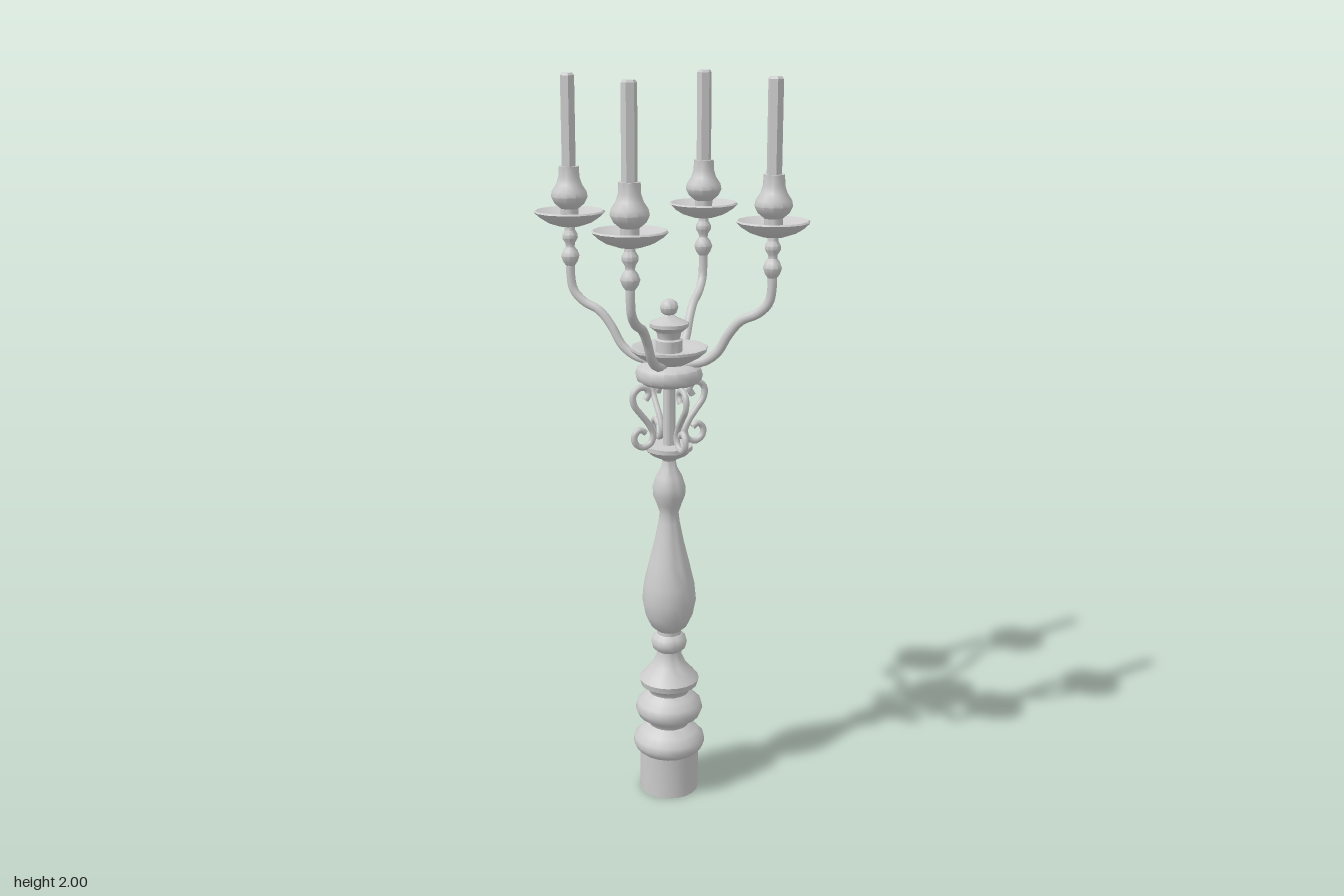
import * as THREE from 'three';
import { toCreasedNormals } from 'three/addons/utils/BufferGeometryUtils.js';

const material = new THREE.MeshStandardMaterial({ color: 0xcccccc, side: THREE.DoubleSide });

// Turned part from [radius, height] pairs, listed bottom to top
function turned(name, profile, sides, crease = 0.75) {
  const points = profile.map(([r, y]) => new THREE.Vector2(r, y));
  const geometry = new THREE.LatheGeometry(points, sides, Math.PI / sides);
  const mesh = new THREE.Mesh(toCreasedNormals(geometry, crease), material);
  mesh.name = name;
  return mesh;
}

// Round bar along a path of [distance from axis, height] pairs
function bar(name, path, radius, segments, sides) {
  const curve = new THREE.CatmullRomCurve3(path.map(([x, y]) => new THREE.Vector3(x, y, 0)));
  const mesh = new THREE.Mesh(new THREE.TubeGeometry(curve, segments, radius, sides), material);
  mesh.name = name;
  return mesh;
}

export function createModel() {
  const model = new THREE.Group();
  model.name = 'candelabra';

  // Foot and ringed base
  model.add(turned('base', [
    [0, 0], [0.083, 0], [0.083, 0.12], [0.094, 0.13], [0.101, 0.145], [0.099, 0.163],
    [0.08, 0.183], [0.055, 0.2], [0.06, 0.212], [0.085, 0.228], [0.095, 0.25], [0.09, 0.27],
    [0.07, 0.288], [0.056, 0.3], [0.06, 0.312], [0.08, 0.325], [0.084, 0.342], [0.07, 0.36],
    [0.048, 0.385], [0.036, 0.41], [0.034, 0.426], [0.046, 0.436], [0.05, 0.452],
    [0.046, 0.468], [0.034, 0.478], [0.034, 0.49],
  ], 20));

  // Baluster stem with upper bulb
  model.add(turned('stem', [
    [0.034, 0.488], [0.05, 0.502], [0.066, 0.535], [0.075, 0.58], [0.07, 0.63], [0.056, 0.69],
    [0.04, 0.755], [0.029, 0.81], [0.026, 0.835], [0.034, 0.86], [0.044, 0.885], [0.045, 0.91],
    [0.036, 0.94], [0.022, 0.965], [0.018, 0.985], [0.025, 0.995],
  ], 20));

  // Plate under the scrolls and the rod through them
  model.add(turned('lowerPlate', [
    [0, 0.99], [0.03, 0.993], [0.05, 1.003], [0.064, 1.016], [0.064, 1.028], [0, 1.03],
  ], 16));
  model.add(turned('centreRod', [[0.017, 1.02], [0.017, 1.21]], 10));

  // Collar and central dish
  model.add(turned('collar', [
    [0, 1.198], [0.07, 1.2], [0.086, 1.21], [0.091, 1.226], [0.086, 1.243], [0.07, 1.253], [0, 1.255],
  ], 16));
  model.add(turned('centreDish', [
    [0.03, 1.25], [0.05, 1.255], [0.08, 1.272], [0.104, 1.292], [0.104, 1.299],
    [0.098, 1.3], [0.07, 1.289], [0, 1.285],
  ], 12));

  // Finial with ball tip
  model.add(turned('finial', [
    [0.036, 1.284], [0.036, 1.318], [0.03, 1.322], [0.034, 1.34], [0.053, 1.355], [0.053, 1.364],
    [0.044, 1.369], [0.024, 1.377], [0.012, 1.386], [0.02, 1.391], [0.025, 1.405],
    [0.021, 1.418], [0.011, 1.426], [0, 1.428],
  ], 12));

  for (let i = 0; i < 4; i++) {
    // Scroll brackets on the four straight axes
    const scroll = bar('scroll', [
      [0.07, 1.16], [0.06, 1.178], [0.07, 1.194], [0.09, 1.194], [0.105, 1.177], [0.103, 1.15],
      [0.083, 1.122], [0.06, 1.092], [0.047, 1.062], [0.056, 1.038], [0.08, 1.03],
      [0.1, 1.044], [0.101, 1.067], [0.085, 1.08], [0.07, 1.07],
    ], 0.009, 40, 6);
    scroll.rotation.y = i * Math.PI / 2;
    model.add(scroll);

    // Curved arm on the diagonal, with its candle
    const branch = new THREE.Group();
    branch.name = 'branch';
    branch.rotation.y = Math.PI / 4 + i * Math.PI / 2;
    branch.add(bar('arm', [
      [0.05, 1.255], [0.1, 1.268], [0.135, 1.295], [0.165, 1.345], [0.198, 1.383],
      [0.243, 1.405], [0.272, 1.435], [0.28, 1.475], [0.28, 1.52],
    ], 0.0125, 30, 8));

    const holder = new THREE.Group();
    holder.name = 'candleHolder';
    holder.position.x = 0.28;
    holder.add(turned('beads', [
      [0.012, 1.5], [0.02, 1.511], [0.025, 1.526], [0.02, 1.54], [0.012, 1.55], [0.013, 1.56],
      [0.021, 1.573], [0.021, 1.583], [0.014, 1.595], [0.014, 1.61],
    ], 10));
    holder.add(turned('dripPan', [
      [0, 1.604], [0.03, 1.606], [0.06, 1.616], [0.082, 1.63], [0.095, 1.643],
      [0.091, 1.647], [0.065, 1.634], [0.03, 1.628], [0, 1.628],
    ], 14));
    holder.add(turned('socket', [
      [0.024, 1.625], [0.024, 1.652], [0.04, 1.665], [0.049, 1.683], [0.046, 1.698],
      [0.034, 1.716], [0.028, 1.735], [0.027, 1.762], [0, 1.762],
    ], 12));
    holder.add(turned('candle', [
      [0.02, 1.755], [0.02, 1.994], [0.015, 2], [0, 2],
    ], 6, 0.6));
    branch.add(holder);
    model.add(branch);
  }
  return model;
}
